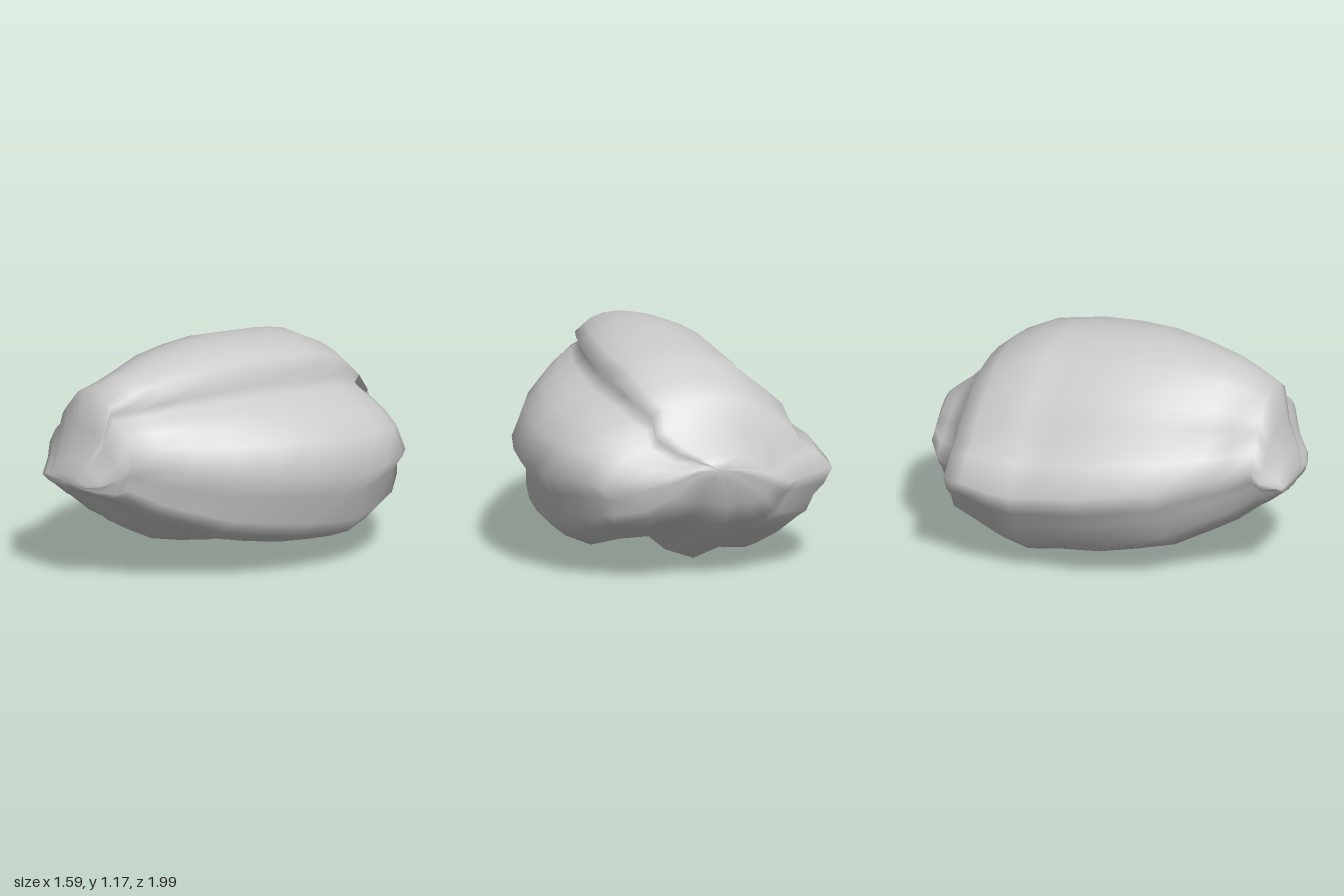
import * as THREE from 'three';

// Lobed cross-section, running clockwise from the right-hand ridge (x, y)
const OUTLINE = [
  [-0.8, 0.51], [-0.69, 0.66], [-0.6, 0.73], [-0.55, 0.85], [-0.45, 0.95], [-0.37, 1.02],
  [-0.27, 1.11], [-0.15, 1.15], [-0.03, 1.175], [0.1, 1.17], [0.22, 1.14], [0.29, 1.1],
  [0.37, 1.05], [0.33, 0.97], [0.4, 0.93], [0.5, 0.89], [0.6, 0.83], [0.71, 0.73],
  [0.79, 0.55], [0.7, 0.42], [0.7, 0.27], [0.61, 0.18], [0.47, 0.12], [0.3, 0.14],
  [0.14, 0.14], [0.05, 0.06], [-0.11, 0], [-0.25, 0.05], [-0.4, 0.035], [-0.52, 0.09],
  [-0.63, 0.17], [-0.68, 0.3], [-0.75, 0.39],
];

// Extents of the body along its length: z, left x, right x, bottom y, top y
const SECTIONS = [
  [0.99, -0.29, 0.06, 0.53, 0.6],
  [0.96, -0.31, 0.14, 0.5, 0.68],
  [0.89, -0.36, 0.21, 0.44, 0.84],
  [0.85, -0.39, 0.26, 0.41, 1.04],
  [0.72, -0.43, 0.37, 0.3, 1.08],
  [0.6, -0.49, 0.46, 0.23, 1.115],
  [0.4, -0.63, 0.6, 0.13, 1.155],
  [0.2, -0.7, 0.7, 0.08, 1.175],
  [0, -0.76, 0.76, 0.04, 1.175],
  [-0.2, -0.77, 0.79, 0.02, 1.155],
  [-0.35, -0.78, 0.77, 0, 1.135],
  [-0.47, -0.8, 0.765, 0.05, 1.11],
  [-0.63, -0.76, 0.71, 0.13, 1.03],
  [-0.73, -0.74, 0.62, 0.19, 0.95],
  [-0.79, -0.54, 0.55, 0.23, 0.84],
  [-0.88, -0.46, 0.4, 0.3, 0.75],
  [-0.95, -0.36, 0.25, 0.41, 0.7],
  [-0.99, -0.14, 0.1, 0.57, 0.66],
];

export function createModel() {
  const group = new THREE.Group();
  const n = OUTLINE.length;
  const positions = [];
  const index = [];

  // Fit the lobed outline to each section's extents
  for (const [z, left, right, bottom, top] of SECTIONS) {
    for (const [x, y] of OUTLINE) {
      const u = (x + 0.8) / 1.59;
      const v = y / 1.175;
      positions.push(left + u * (right - left), bottom + v * (top - bottom), z);
    }
  }
  const front = positions.length / 3;
  positions.push(-0.1, 0.56, 0.99, -0.02, 0.62, -1);

  for (let j = 0; j < n; j++) {
    const k = (j + 1) % n;
    for (let i = 0; i < SECTIONS.length - 1; i++) {
      const a = i * n + j, b = i * n + k, c = a + n, d = b + n;
      index.push(a, b, c, b, d, c);
    }
    // Closed front and back tips
    const last = (SECTIONS.length - 1) * n;
    index.push(front, k, j, front + 1, last + j, last + k);
  }

  const geometry = new THREE.BufferGeometry();
  geometry.setAttribute('position', new THREE.Float32BufferAttribute(positions, 3));
  geometry.setIndex(index);
  geometry.computeVertexNormals();

  const body = new THREE.Mesh(geometry, new THREE.MeshStandardMaterial({ color: 0xcccccc }));
  body.name = 'lobedBody';
  group.add(body);
  return group;
}
